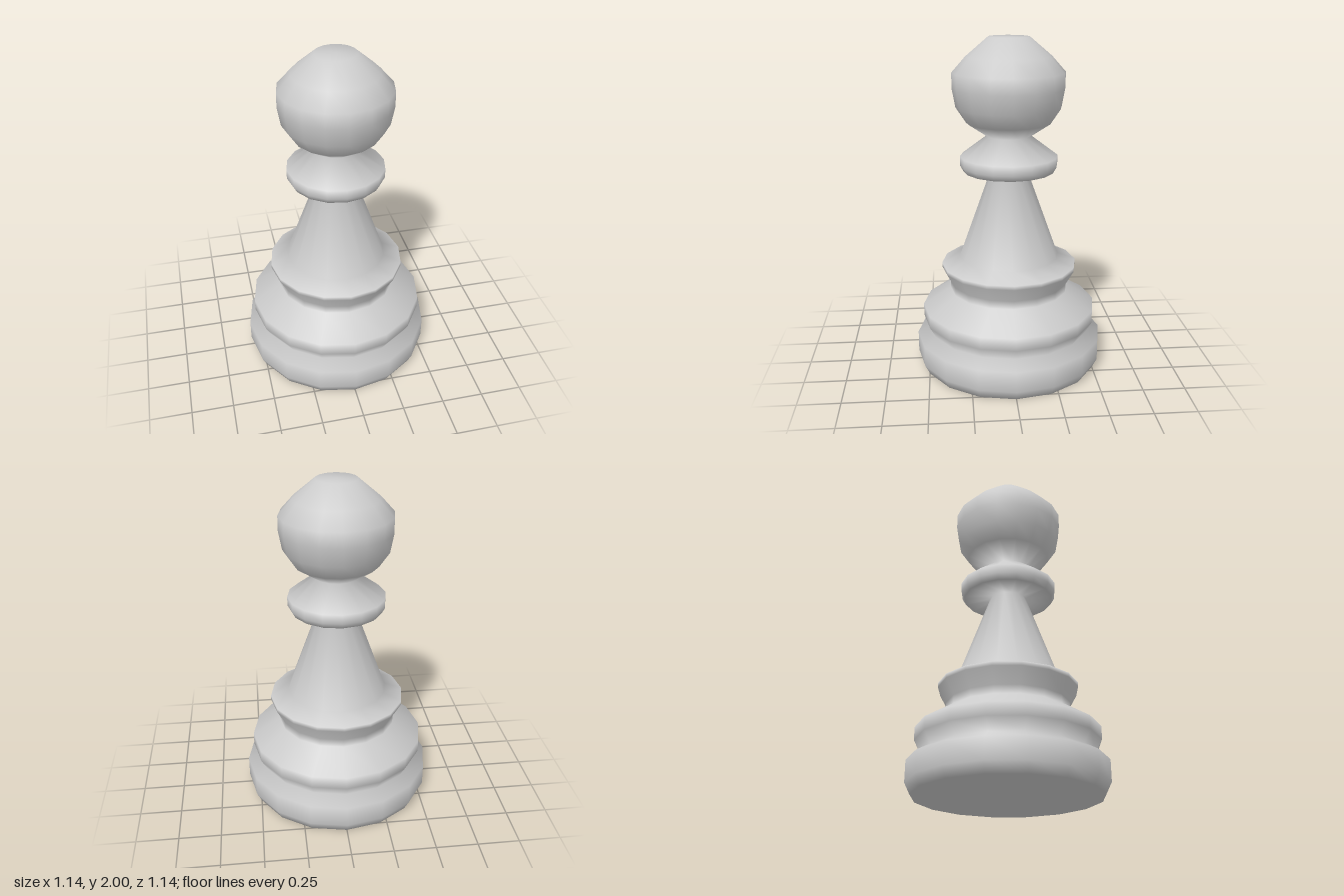
import * as THREE from 'three';

const SIDES = 16;

// Profile as [radius, height], from the underside up to the crown
const foot = [[0, 0], [0.54, 0], [0.57, 0.06], [0.57, 0.185]];
const lowerRing = [[0.49, 0.23], [0.53, 0.3], [0.53, 0.375]];
const upperRing = [[0.36, 0.48], [0.36, 0.53], [0.41, 0.62], [0.41, 0.645]];
const stem = [[0.3, 0.69], [0.11, 1.22]];
const collar = [[0.27, 1.22], [0.29, 1.255], [0.29, 1.31]];
const head = [[0.13, 1.43], [0.25, 1.51], [0.31, 1.6], [0.33, 1.71], [0.33, 1.8], [0.25, 1.89], [0.12, 2], [0, 2]];

export function createModel() {
  const model = new THREE.Group();
  model.name = 'chessPawn';

  // One continuous turned body, smoothly shaded across all its rings
  const profile = [foot, lowerRing, upperRing, stem, collar, head]
    .flat()
    .map(([r, y]) => new THREE.Vector2(r, y));
  const body = new THREE.Mesh(
    new THREE.LatheGeometry(profile, SIDES),
    new THREE.MeshStandardMaterial({ color: 0xcccccc })
  );
  body.name = 'turnedBody';
  model.add(body);
  return model;
}
